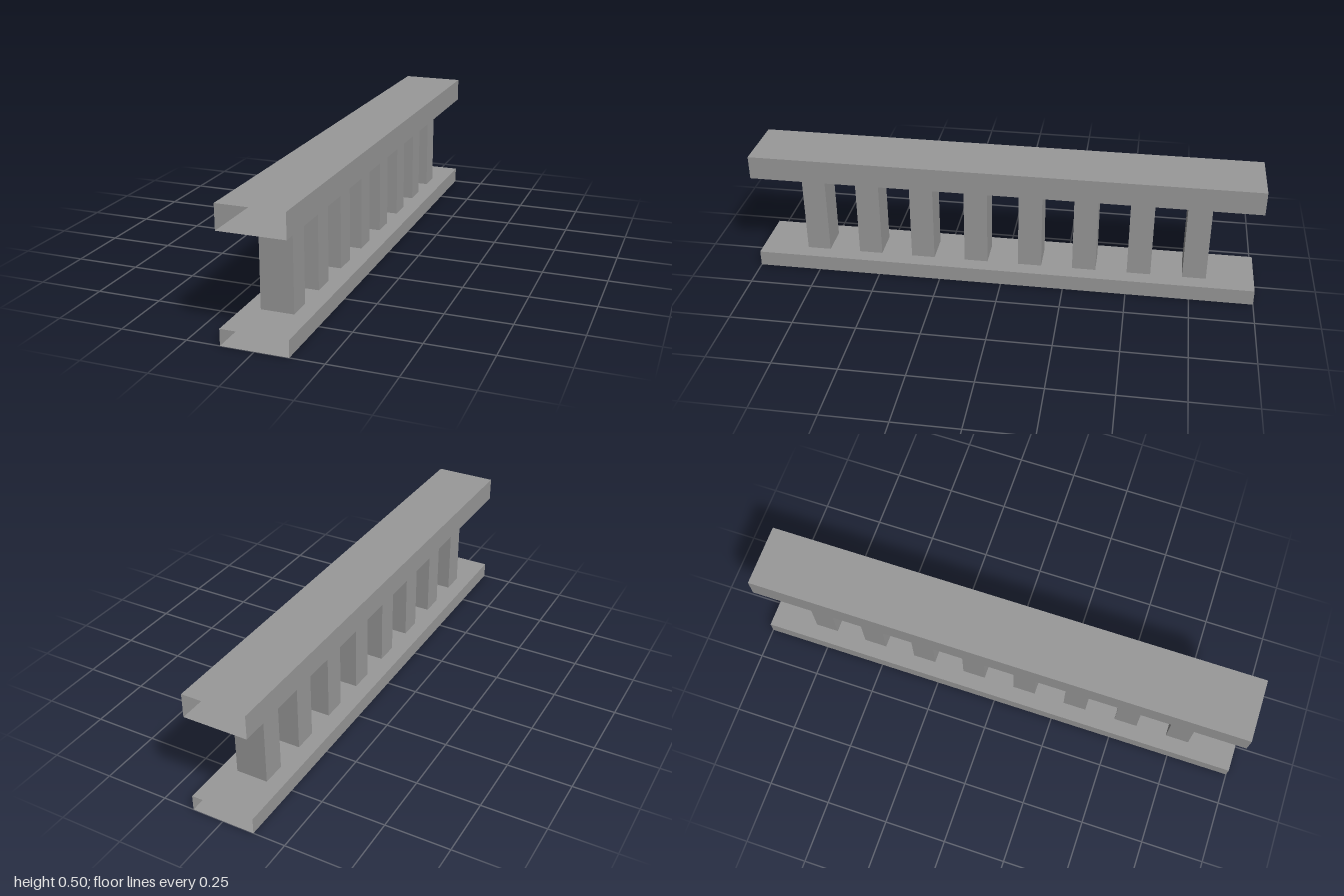
import * as THREE from 'three';

const material = new THREE.MeshStandardMaterial({ color: 0x999999, side: THREE.DoubleSide, flatShading: true });

// Box without the pair of faces across one axis (0 = x, 1 = y, 2 = z)
function openBox(w, h, d, axis) {
  const geometry = new THREE.BoxGeometry(w, h, d);
  const index = Array.from(geometry.index.array);
  index.splice(axis * 12, 12);
  geometry.setIndex(index);
  geometry.clearGroups();
  return geometry;
}

export function createModel() {
  const group = new THREE.Group();
  const width = 0.25, length = 2;
  const bottomTop = 0.0625, topBottom = 0.40625, height = 0.5;

  const add = (name, geometry, y, z = 0) => {
    const mesh = new THREE.Mesh(geometry, material);
    mesh.name = name;
    mesh.position.set(0, y, z);
    group.add(mesh);
  };

  // Hollow rails, open at both ends
  add('bottomRail', openBox(width, bottomTop, length, 2), bottomTop / 2);
  add('topRail', openBox(width, height - topBottom, length, 2), (topBottom + height) / 2);

  // Evenly spaced balusters, closed above and below by the rails
  const count = 8, spacing = 0.21875;
  const baluster = openBox(0.125, topBottom - bottomTop, 0.09375, 1);
  for (let i = 0; i < count; i++) {
    add(`baluster${i + 1}`, baluster, (bottomTop + topBottom) / 2, (i - (count - 1) / 2) * spacing);
  }
  return group;
}
